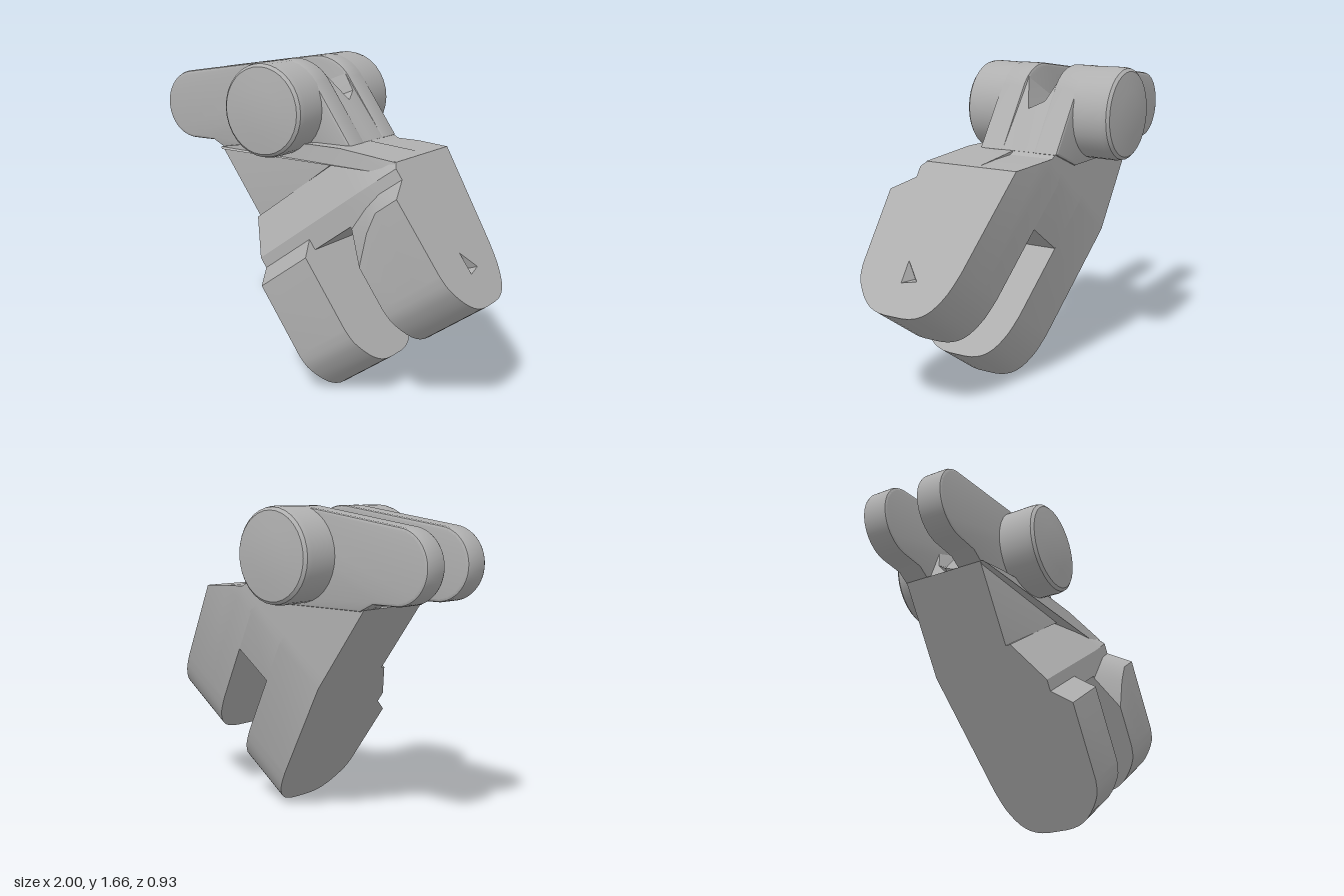
import * as THREE from 'three';
import { toCreasedNormals } from 'three/addons/utils/BufferGeometryUtils.js';

// Skin a stack of equal-length rings of [u, v, w]; w rises from ring to ring.
// An optional triangular pit is sunk into the last cap.
function loft(rings, pit, depth = 0.06) {
  const flat = r => r.map(p => new THREE.Vector2(p[0], p[1]));
  if (THREE.ShapeUtils.isClockWise(flat(rings[0]))) rings = rings.map(r => [...r].reverse());
  const pos = [];
  const tri = (a, b, c) => pos.push(...a, ...b, ...c);
  const count = rings[0].length;
  for (let i = 0; i + 1 < rings.length; i++) {
    for (let j = 0; j < count; j++) {
      const k = (j + 1) % count, lo = rings[i], hi = rings[i + 1];
      tri(lo[j], lo[k], hi[k]);
      tri(lo[j], hi[k], hi[j]);
    }
  }
  const first = rings[0], last = rings[rings.length - 1];
  for (const [a, b, c] of THREE.ShapeUtils.triangulateShape(flat(first), [])) tri(first[c], first[b], first[a]);
  const pts = pit ? [...last, ...pit] : last;
  for (const [a, b, c] of THREE.ShapeUtils.triangulateShape(flat(last), pit ? [flat(pit)] : [])) tri(pts[a], pts[b], pts[c]);
  if (pit) {
    const apex = [0, 1, 2].map(i => (pit[0][i] + pit[1][i] + pit[2][i]) / 3);
    apex[2] -= depth;
    pit.forEach((p, i) => tri(p, pit[(i + 1) % 3], apex));
  }
  const g = new THREE.BufferGeometry();
  g.setAttribute('position', new THREE.Float32BufferAttribute(pos, 3));
  return toCreasedNormals(g, 0.45);
}

// Fork frame: u runs down the legs, v is -z, w runs across from leg to leg
const forkFrame = new THREE.Matrix4().makeBasis(
  new THREE.Vector3(0.575, -0.818, 0),
  new THREE.Vector3(0, 0, -1),
  new THREE.Vector3(0.818, 0.575, 0));

const backZ = a => (a < -0.8 ? -0.245 : -0.245 + (a + 0.8) * 0.208);
const topLimit = n => Math.max(-0.875, -0.69 - (1.14 - n) * 0.8);

// Rounded leg tip, from the back round to the front
const tip = new THREE.SplineCurve([
  [-0.15, -0.11], [-0.03, -0.07], [0.07, 0], [0.113, 0.1], [0.113, 0.26],
  [0.07, 0.36], [-0.03, 0.44], [-0.115, 0.46],
].map(p => new THREE.Vector2(...p))).getPoints(24).map(p => [Math.min(p.x, 0.115), Math.min(p.y, 0.46)]);

// Cross-section of the fork at distance n: with a leg, or cut off at the crotch
function forkSection(n, leg, shift = 0, ledge = 0.36) {
  const top = topLimit(n), start = Math.max(top, -0.8);
  const end = leg
    ? [...tip, [-0.52 + shift, 0.46], [-0.6 + shift * 0.4, ledge]]
    : [[-0.54, backZ(-0.54)], [-0.54, ledge]];
  return [
    [top, backZ(top)], [start, backZ(start)], ...end,
    [-0.66, ledge], [top, 0.22 + (top + 0.875) * 0.43],
  ].map(([a, z]) => [a, -z, n]);
}

// Side profile of an arm plate: round nose, round hub, sloping heel
function armShape() {
  const s = new THREE.Shape();
  s.moveTo(-0.68, 1.2);
  s.lineTo(-0.6, 1.16);
  s.lineTo(0, 1.16);
  s.lineTo(0.21, 1.25);
  s.absarc(-0.2, 1.42, 0.24, 0.58, 1.71, false);
  s.absarc(-0.815, 1.385, 0.185, 1.69, Math.PI * 1.5, false);
  s.closePath();
  return s;
}

export function createModel() {
  const model = new THREE.Group();
  const grey = new THREE.MeshStandardMaterial({ color: 0xb0b0b0 });
  grey.name = 'plain grey';
  const add = (name, geometry) => {
    const mesh = new THREE.Mesh(geometry, grey);
    mesh.name = name;
    model.add(mesh);
    return mesh;
  };

  // Fork: two legs joined by a crotch block
  const pit = [[-0.17, -0.2, 1.14], [-0.054, -0.2, 1.14], [-0.073, -0.115, 1.14]];
  add('lowerLeg', loft([forkSection(0.168, true), forkSection(0.508, true)]).applyMatrix4(forkFrame));
  add('crotchBlock', loft([forkSection(0.5, false), forkSection(0.775, false)]).applyMatrix4(forkFrame));
  add('upperLeg', loft([
    forkSection(0.767, true, 0.18), forkSection(0.9, true, 0.06),
    forkSection(1.0, true, 0, 0.35), forkSection(1.14, true, 0, 0.33),
  ], pit).applyMatrix4(forkFrame));

  // Body wedge between the fork and the arms
  const bodyOutline = [[-0.62, 1.17], [-0.366, 0.812], [0.233, 1.233], [0.2, 1.25], [0, 1.25], [-0.45, 1.2]];
  add('body', loft([
    bodyOutline.map(([x, y]) => [x, y, -0.245]),
    bodyOutline.map(([x, y]) => [x, y, 0.195 + Math.max(0, x + 0.37) * 0.08]),
  ]));

  // Overhanging band along the top of the body
  const bandOutline = [[-0.62, 1.17], [-0.6, 1.16], [0.57, 1.16], [0.53, 1.22], [0.2, 1.25], [0, 1.25], [-0.45, 1.2]];
  add('band', loft([
    bandOutline.map(([x, y]) => [x, y, 0]),
    bandOutline.map(([x, y]) => [x, y, 0.21 + (x + 0.6) * 0.085 + (y < 1.165 ? 0.015 : 0)]),
  ]));

  // Pair of arm plates
  for (const [name, z0, z1] of [['frontArm', 0.06, 0.2], ['backArm', -0.255, -0.12]]) {
    const bevel = 0.015;
    const g = new THREE.ExtrudeGeometry(armShape(), {
      depth: z1 - z0 - 2 * bevel, bevelEnabled: true, bevelThickness: bevel,
      bevelSize: bevel, bevelOffset: -bevel, bevelSegments: 2, curveSegments: 20,
    });
    add(name, toCreasedNormals(g.translate(0, 0, z0 + bevel), 0.6));
  }

  // V-shaped saddle filling the gap between the plates
  const saddle = (z, right, left) =>
    [[-0.6, 1.165], [0, 1.165], [0.205, 1.25], right, left].map(([x, y]) => [x, y, z]);
  add('saddle', loft([
    saddle(-0.13, [-0.05, 1.6], [-0.5, 1.4]),
    saddle(-0.09, [0.04, 1.49], [-0.56, 1.26]),
    saddle(-0.01, [0.07, 1.45], [-0.62, 1.19]),
    saddle(0.07, [-0.07, 1.62], [-0.5, 1.4]),
  ]));

  // Domed pivot bosses on both sides
  for (const [name, side, base, len] of [['frontBoss', 1, 0.1, 0.31], ['backBoss', -1, 0.15, 0.32]]) {
    const profile = [[0.24, 0], [0.243, len - 0.06], [0.237, len - 0.03], [0.222, len - 0.016], [0.12, len - 0.004], [0, len]]
      .map(p => new THREE.Vector2(...p));
    const boss = add(name, toCreasedNormals(new THREE.LatheGeometry(profile, 32), 0.6));
    boss.rotation.x = side * Math.PI / 2;
    boss.position.set(-0.2, 1.418, side * base);
  }
  return model;
}
